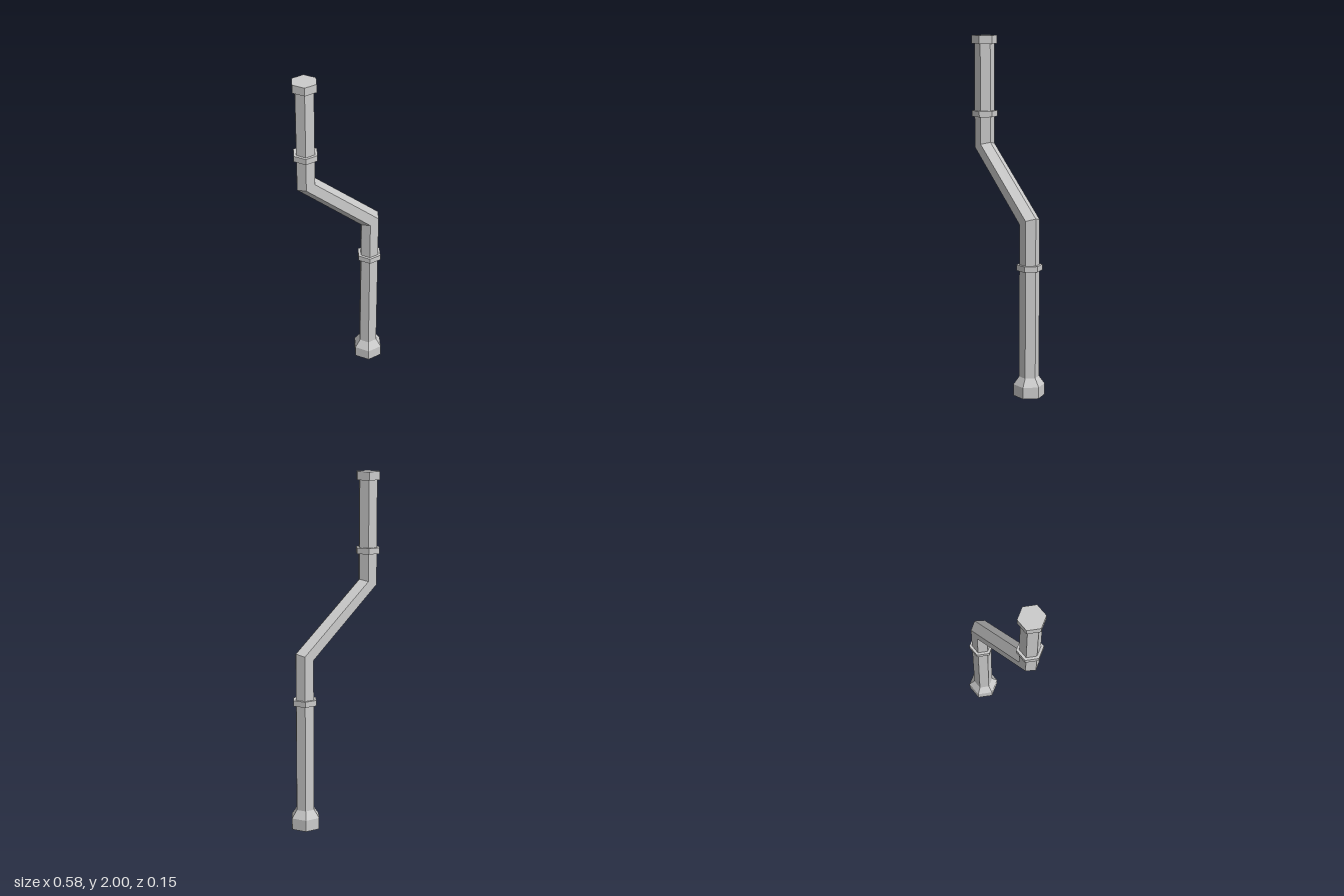
import * as THREE from 'three';

const SIDES = 6;
const LOWER_X = 0.2025, UPPER_X = -0.22;
const PIPE_R = 0.0565, COLLAR_R = 0.073, FOOT_R = 0.0885;

// Hexagonal skin through rings listed from top to bottom: [x, y, radius, tilt]
function hexSweep(name, rings, material) {
  const n = rings.length - 1;
  const geo = new THREE.CylinderGeometry(1, 1, 1, SIDES, n, true, Math.PI / 2);
  const p = geo.attributes.position;
  for (let i = 0; i < p.count; i++) {
    const [x, y, r, tilt] = rings[Math.round((0.5 - p.getY(i)) * n)];
    const dx = p.getX(i) * r;
    p.setXYZ(i, x + dx, y + dx * tilt, p.getZ(i) * r);
  }
  const flat = geo.toNonIndexed();
  flat.computeVertexNormals();
  const mesh = new THREE.Mesh(flat, material);
  mesh.name = name;
  return mesh;
}

// Closed hexagonal band around the pipe
function collar(name, x, y0, y1, material) {
  const geo = new THREE.CylinderGeometry(COLLAR_R, COLLAR_R, y1 - y0, SIDES, 1, false, Math.PI / 2);
  const mesh = new THREE.Mesh(geo, material);
  mesh.position.set(x, (y0 + y1) / 2, 0);
  mesh.name = name;
  return mesh;
}

export function createModel() {
  const group = new THREE.Group();
  group.name = 'drainpipe';
  const solid = new THREE.MeshStandardMaterial({ color: 0xcccccc, flatShading: true });
  const open = new THREE.MeshStandardMaterial({ color: 0xcccccc, flatShading: true, side: THREE.DoubleSide });

  // Pipe with two mitred bends
  group.add(hexSweep('pipe', [
    [UPPER_X, 1.97, PIPE_R, 0],
    [UPPER_X, 1.377, PIPE_R, 0.36],
    [LOWER_X, 0.991, PIPE_R, 0.44],
    [LOWER_X, 0.11, PIPE_R, 0],
  ], open));

  // Flared foot, open at the bottom
  group.add(hexSweep('foot', [
    [LOWER_X, 0.11, PIPE_R, 0],
    [LOWER_X, 0.065, FOOT_R, 0],
    [LOWER_X, 0, FOOT_R, 0],
  ], open));

  // Cap and joint collars
  group.add(
    collar('topCap', UPPER_X, 1.953, 2, solid),
    collar('upperCollar', UPPER_X, 1.542, 1.576, solid),
    collar('lowerCollar', LOWER_X, 0.72, 0.752, solid),
  );
  return group;
}
